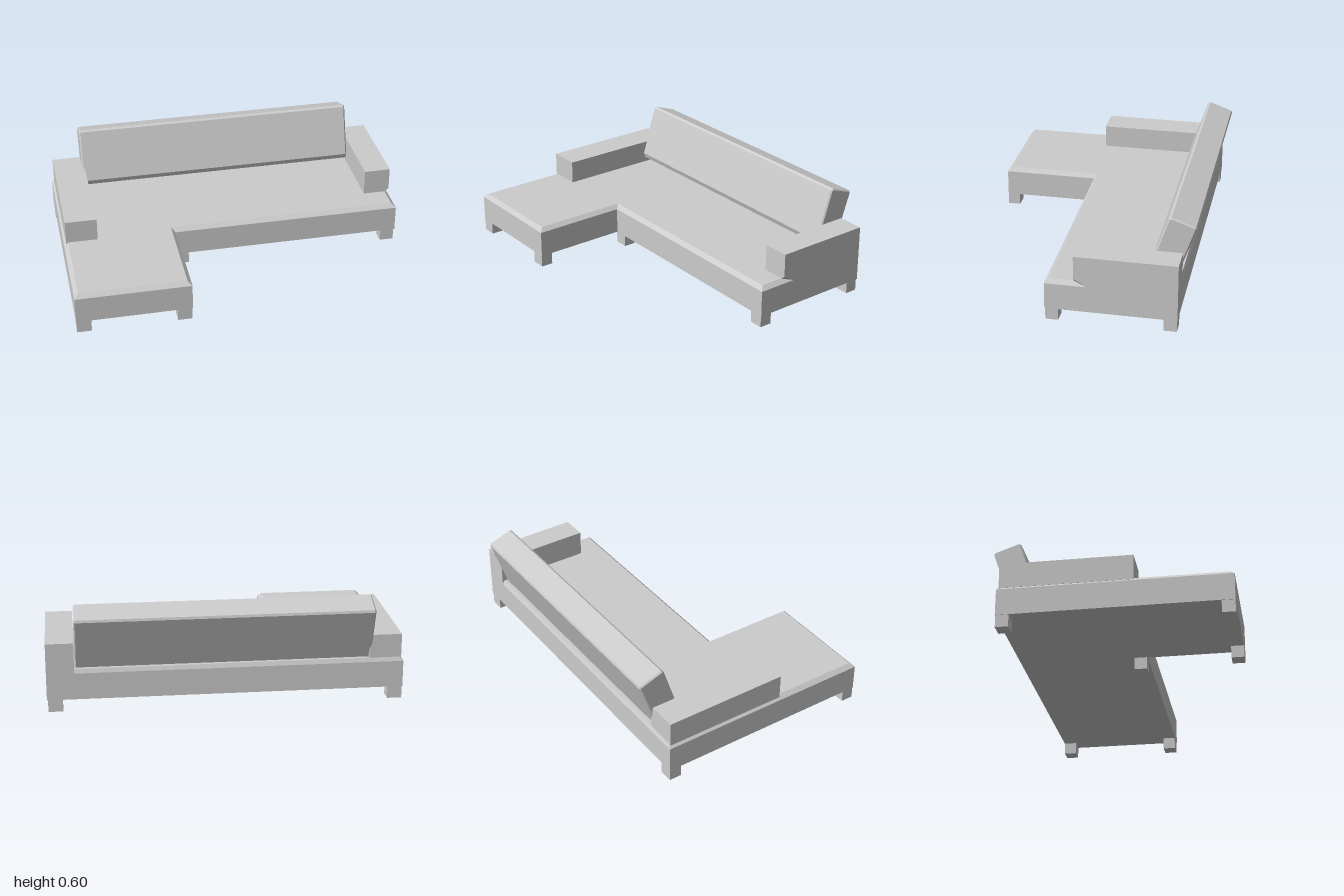
import * as THREE from 'three';
import { ConvexGeometry } from 'three/addons/geometries/ConvexGeometry.js';

const material = new THREE.MeshStandardMaterial({ color: 0xcccccc, flatShading: true });

function addMesh(group, name, geometry) {
  const mesh = new THREE.Mesh(geometry, material);
  mesh.name = name;
  group.add(mesh);
}

// Box given by its minimum and maximum corners
function boxBetween([x0, y0, z0], [x1, y1, z1]) {
  return new THREE.BoxGeometry(x1 - x0, y1 - y0, z1 - z0)
    .translate((x0 + x1) / 2, (y0 + y1) / 2, (z0 + z1) / 2);
}

// L-shaped outline seen from above; side and back are inset distances
function outline(side, back) {
  return [
    [-1 + side, -0.605 + back], [-1 + side, 0.67 - side],
    [-0.345 - side, 0.67 - side], [-0.345 - side, 0.12 - side],
    [1 - side, 0.12 - side], [1 - side, -0.605 + back],
  ];
}

// Closed solid through stacked rings of equal point count
function stackRings(rings) {
  const n = rings[0].points.length;
  const position = [], index = [];
  for (const { y, points } of rings) for (const [x, z] of points) position.push(x, y, z);
  for (let r = 0; r < rings.length - 1; r++) {
    for (let i = 0; i < n; i++) {
      const a = r * n + i, b = r * n + (i + 1) % n;
      index.push(a, b, b + n, a, b + n, a + n);
    }
  }
  // Caps: the outline is triangulated once and flipped for the underside
  const flat = rings[0].points.map(([x, z]) => new THREE.Vector2(x, -z));
  const top = (rings.length - 1) * n;
  for (const [a, b, c] of THREE.ShapeUtils.triangulateShape(flat, [])) {
    index.push(top + a, top + b, top + c, a, c, b);
  }
  const geometry = new THREE.BufferGeometry();
  geometry.setAttribute('position', new THREE.Float32BufferAttribute(position, 3));
  geometry.setIndex(index);
  const result = geometry.toNonIndexed();
  result.computeVertexNormals();
  return result;
}

export function createModel() {
  const sofa = new THREE.Group();
  sofa.name = 'cornerSofa';

  // Seat with chamfered upper edge
  addMesh(sofa, 'seat', stackRings([
    { y: 0.07, points: outline(0, 0) },
    { y: 0.222, points: outline(0, 0) },
    { y: 0.245, points: outline(0.024, 0.01) },
  ]));

  // Long low armrest on the chaise side
  addMesh(sofa, 'rightArmrest', boxBetween([-0.988, 0.235, -0.595], [-0.805, 0.38, 0.135]));

  // Short armrest, with the lower outer front corner cut away
  const armPoints = [];
  for (const x of [0.845, 1]) for (const y of [0.22, 0.398]) for (const z of [-0.605, -0.04]) {
    if (!(x === 1 && y === 0.22 && z === -0.04)) armPoints.push(new THREE.Vector3(x, y, z));
  }
  armPoints.push(
    new THREE.Vector3(1, 0.265, -0.04),
    new THREE.Vector3(1, 0.22, -0.115),
    new THREE.Vector3(0.955, 0.22, -0.04),
  );
  addMesh(sofa, 'leftArmrest', new ConvexGeometry(armPoints));

  // Leaning back cushion: side profile as (-z, y), swept along x
  const profile = [
    [0.437, 0.275], [0.568, 0.232], [0.674, 0.537], [0.67, 0.551],
    [0.537, 0.599], [0.522, 0.591], [0.427, 0.305],
  ].map(([x, y]) => new THREE.Vector2(x, y));
  const bevel = 0.008;
  const back = new THREE.ExtrudeGeometry(new THREE.Shape(profile), {
    depth: 1.662 - 2 * bevel, bevelEnabled: true, bevelSegments: 1,
    bevelSize: bevel, bevelThickness: bevel, bevelOffset: -bevel,
  });
  back.rotateY(Math.PI / 2).translate(-0.82 + bevel, 0, 0);
  addMesh(sofa, 'backrest', back);

  // Block feet: minimum x and z of each
  const feet = [
    [-0.997, -0.603], [0.912, -0.603], [0.912, 0.045],
    [-0.352, 0.045], [-0.997, 0.598], [-0.43, 0.598],
  ];
  for (const [x, z] of feet) {
    addMesh(sofa, 'foot', boxBetween([x, 0, z], [x + 0.082, 0.08, z + 0.072]));
  }

  return sofa;
}
